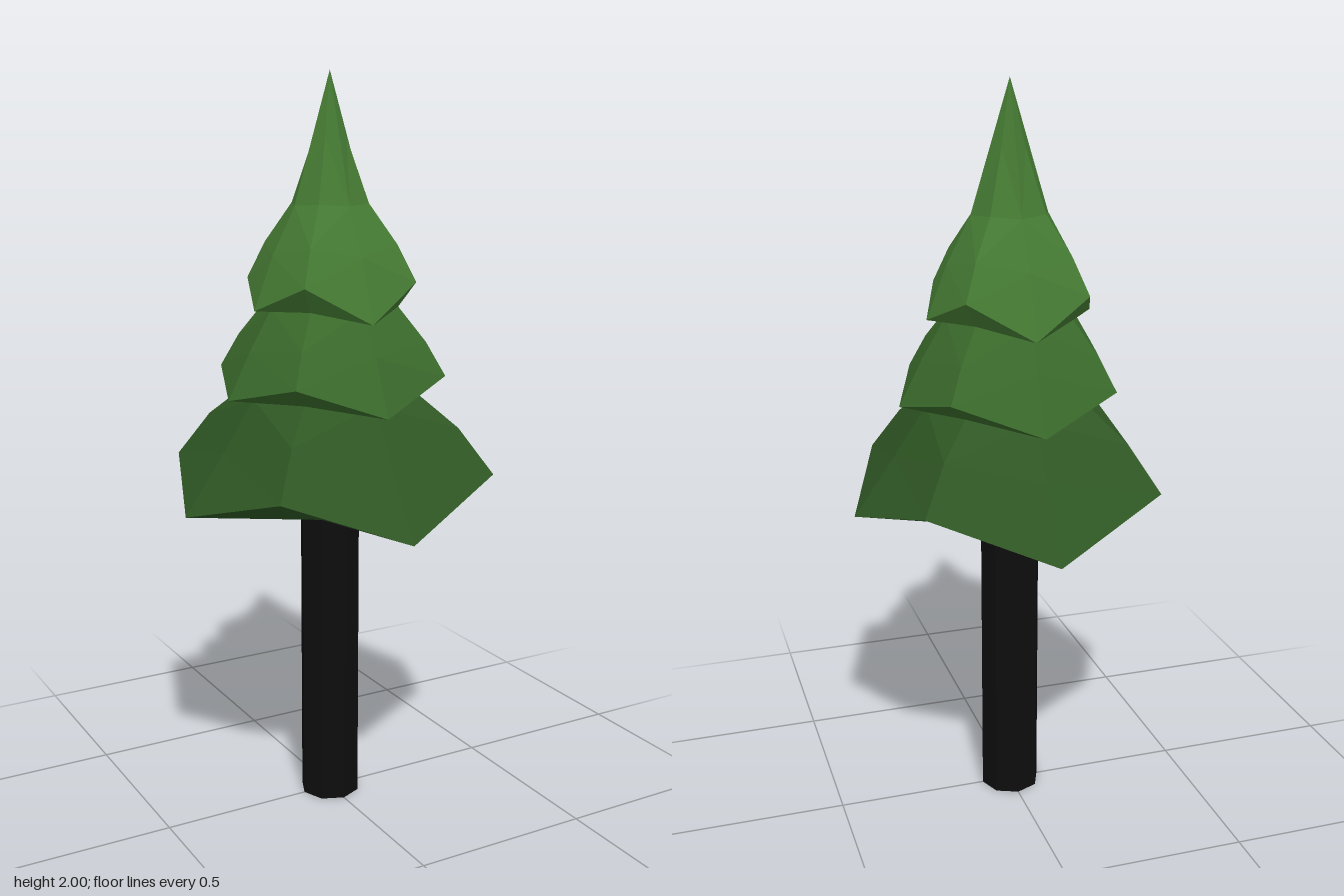
import * as THREE from 'three';

// Eight points around the tree: even ones lie on the axes, odd ones on the diagonals.
// ring = [axisRadius, axisHeight, diagonalRadius, diagonalHeight, drop of front and back points]
function ringPoints([ar, ay, dr, dy, drop = 0]) {
  const points = [];
  for (let i = 0; i < 8; i++) {
    const a = (i * Math.PI) / 4;
    const diagonal = i % 2 === 1;
    const r = diagonal ? dr : ar;
    const y = diagonal ? dy : ay - drop * Math.abs(Math.cos(a));
    points.push(new THREE.Vector3(
      r * Math.sin(a), y, r * Math.cos(a) + 0.02 * r * Math.abs(Math.sin(a))));
  }
  return points;
}

// Skin of facets through a stack of rings, listed from top to bottom
function facetedTier(name, color, rings) {
  const loops = rings.map(ringPoints);
  const pos = [];
  const tri = (a, b, c) => {
    const area = new THREE.Triangle(a, b, c).getArea();
    if (area > 1e-7) for (const p of [a, b, c]) pos.push(p.x, p.y, p.z);
  };
  for (let k = 0; k < loops.length - 1; k++) {
    const U = loops[k], L = loops[k + 1];
    for (let i = 0; i < 8; i++) {
      const j = (i + 1) % 8;
      if (i % 2 === 0) {
        tri(U[i], L[i], L[j]);
        tri(U[i], L[j], U[j]);
      } else {
        tri(U[i], L[i], U[j]);
        tri(L[i], L[j], U[j]);
      }
    }
  }
  const geometry = new THREE.BufferGeometry();
  geometry.setAttribute('position', new THREE.Float32BufferAttribute(pos, 3));
  geometry.computeVertexNormals();
  const mesh = new THREE.Mesh(geometry, new THREE.MeshStandardMaterial({ color, flatShading: true }));
  mesh.name = name;
  return mesh;
}

export function createModel() {
  const tree = new THREE.Group();
  tree.name = 'pineTree';

  // Trunk
  const trunk = new THREE.Mesh(
    new THREE.CylinderGeometry(0.083, 0.083, 0.86, 8),
    new THREE.MeshStandardMaterial({ color: 0x0d0d0d, flatShading: true }));
  trunk.position.y = 0.43;
  trunk.name = 'trunk';
  tree.add(trunk);

  // Pointed top with the first skirt of branches
  tree.add(facetedTier('topBranches', 0x457a33, [
    [0, 2, 0, 2],
    [0.105, 1.66, 0.045, 1.83],
    [0.105, 1.66, 0.105, 1.665],
    [0.17, 1.535, 0.182, 1.56],
    [0.225, 1.395, 0.232, 1.465, 0.025],
    [0.175, 1.4, 0.185, 1.4],
  ]));

  // Middle skirt
  tree.add(facetedTier('middleBranches', 0x3a6a2b, [
    [0.175, 1.4, 0.185, 1.4],
    [0.24, 1.29, 0.26, 1.31],
    [0.303, 1.167, 0.313, 1.222, 0.025],
    [0.23, 1.165, 0.24, 1.17],
  ]));

  // Bottom skirt with its closed underside
  tree.add(facetedTier('bottomBranches', 0x2f5724, [
    [0.23, 1.165, 0.24, 1.17],
    [0.32, 1.03, 0.35, 1.085],
    [0.432, 0.872, 0.446, 0.965, 0.027],
    [0.08, 0.82, 0.08, 0.825],
    [0, 0.82, 0, 0.82],
  ]));

  return tree;
}
